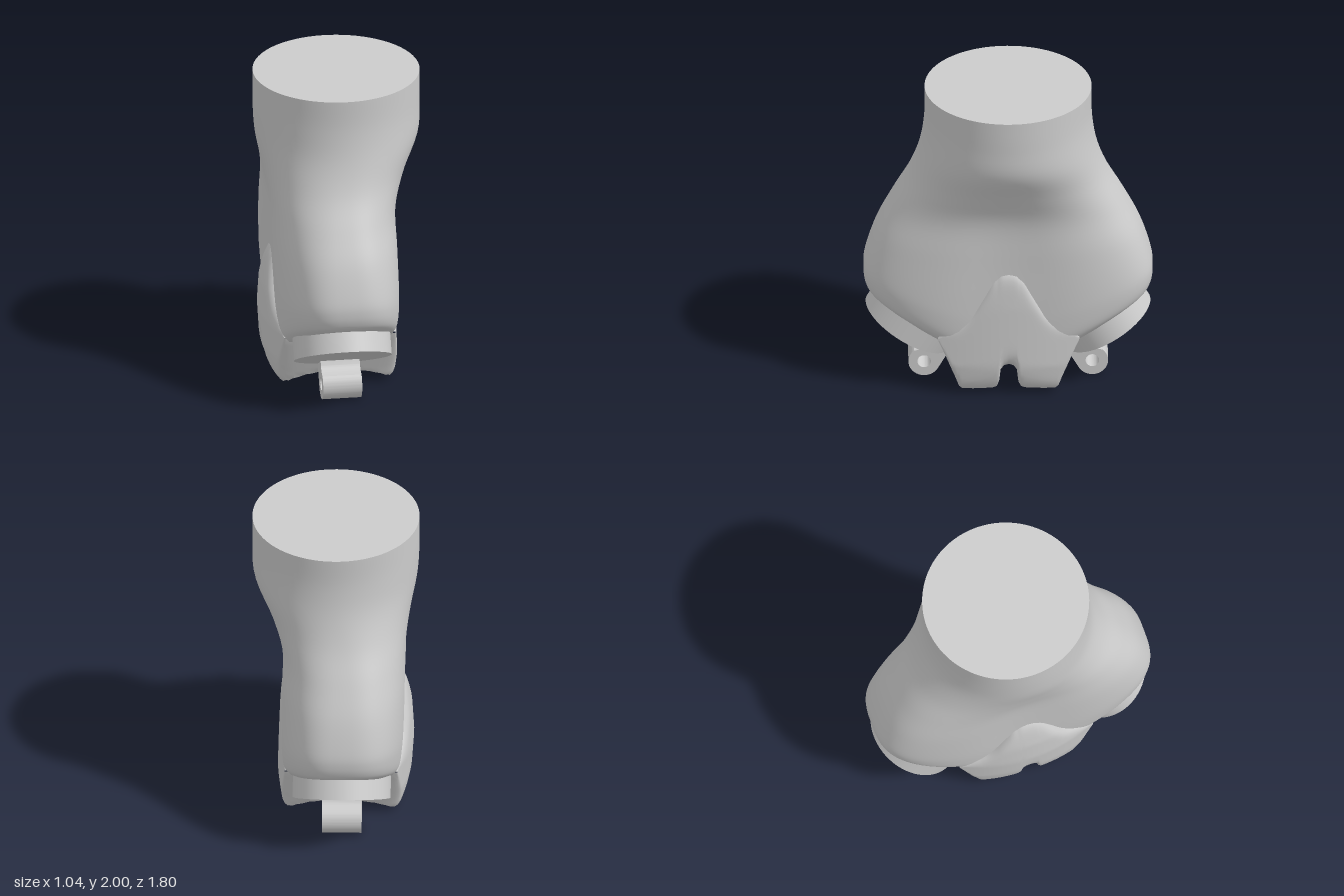
import * as THREE from 'three';
import { toCreasedNormals } from 'three/addons/utils/BufferGeometryUtils.js';

const material = new THREE.MeshStandardMaterial({ color: 0xcccccc });

function part(name, geometry) {
  const mesh = new THREE.Mesh(geometry, material);
  mesh.name = name;
  return mesh;
}

// Skin over closed loops of [x, y, z] points, all with the same count
function loft(loops, crease) {
  const n = loops[0].length;
  const index = [];
  for (let i = 0; i < loops.length - 1; i++) {
    for (let j = 0; j < n; j++) {
      const a = i * n + j, b = i * n + (j + 1) % n;
      index.push(a, b, a + n, b, b + n, a + n);
    }
  }
  const geometry = new THREE.BufferGeometry();
  geometry.setAttribute('position', new THREE.Float32BufferAttribute(loops.flat(2), 3));
  geometry.setIndex(index);
  return toCreasedNormals(geometry, crease);
}

// Linear lookup in a list of [key, value] pairs with rising keys
function lookup(table, k) {
  if (k <= table[0][0]) return table[0][1];
  for (let i = 1; i < table.length; i++) {
    const [k0, v0] = table[i - 1], [k1, v1] = table[i];
    if (k <= k1) return v0 + (v1 - v0) * (k - k0) / (k1 - k0);
  }
  return table[table.length - 1][1];
}

function catmull(a, b, c, d, t) {
  return b + 0.5 * t * (c - a + t * (2 * a - 5 * b + 4 * c - d + t * (3 * (b - c) + d - a)));
}

// Round neck that spreads into two legs, with a V-shaped underside
function bodyGeometry() {
  // end height, half length, min x, max x, roundness, V slope, waist pinch
  const rows = [
    [2.0, 0.52, -0.52, 0.52, 2, 0, 0],
    [1.8, 0.522, -0.52, 0.52, 2, 0, 0],
    [1.6, 0.552, -0.507, 0.507, 2.05, 0, 0],
    [1.4, 0.618, -0.48, 0.42, 2.3, 0, 0.03],
    [1.2, 0.725, -0.46, 0.355, 2.6, 0, 0.07],
    [1.0, 0.825, -0.453, 0.35, 2.9, 0.1, 0.09],
    [0.8, 0.89, -0.442, 0.35, 3.1, 0.25, 0.09],
    [0.7, 0.9, -0.432, 0.348, 3.1, 0.35, 0.09],
    [0.63, 0.885, -0.415, 0.335, 3, 0.48, 0.08],
    [0.595, 0.86, -0.38, 0.3, 2.8, 0.565, 0.08],
  ];
  const section = ([y, b, x0, x1, n, k, pinch], width = 1) => {
    const loop = [];
    for (let j = 0; j < 96; j++) {
      const t = j / 96 * Math.PI * 2;
      const c = Math.cos(t), s = Math.sin(t);
      const z = b * Math.sign(s) * Math.abs(s) ** (2 / n);
      const waist = 1 - pinch * Math.exp(-((z / 0.3) ** 2));
      const x = Math.sign(c) * Math.abs(c) ** (2 / n) * waist * width;
      loop.push([(x0 + x1) / 2 + (x1 - x0) / 2 * x, Math.max(y - k * (b - Math.abs(z)), 0.25), z]);
    }
    return loop;
  };
  const loops = [section([2, 0, 0, 0, 2, 0, 0])];
  const last = rows.length - 1, steps = 5;
  for (let i = 0; i < last; i++) {
    const p = [rows[Math.max(i - 1, 0)], rows[i], rows[i + 1], rows[Math.min(i + 2, last)]];
    for (let s = 0; s < steps; s++) {
      loops.push(section(rows[i].map((_, q) => catmull(p[0][q], p[1][q], p[2][q], p[3][q], s / steps))));
    }
  }
  loops.push(section(rows[last]));
  // Underside folded shut along its centre line
  const under = [0.577, 0.83, -0.35, 0.26, 2.6, 0.577, 0.08];
  loops.push(section(under), section(under, 0));
  return loft(loops, 0.7);
}

// Block between the legs: a bulging pointed plate on each side, four toes and a slot
function clawGeometry() {
  const top = [[0, 0.875], [0.05, 0.87], [0.08, 0.85], [0.1, 0.825], [0.14, 0.745], [0.19, 0.65],
    [0.22, 0.6], [0.26, 0.55], [0.35, 0.48], [0.41, 0.43], [0.435, 0.395], [0.44, 0.385]];
  const bottom = [[0, 0.18], [0.03, 0.17], [0.05, 0.14], [0.06, 0.05], [0.075, 0.01], [0.1, 0],
    [0.29, 0], [0.31, 0.02], [0.33, 0.08], [0.435, 0.355], [0.44, 0.375]];
  const right = [[0.03, -0.445], [0.2, -0.475], [0.4, -0.487], [0.6, -0.475], [0.7, -0.457], [0.86, -0.425]];
  const left = [[0.03, 0.345], [0.2, 0.362], [0.4, 0.355], [0.6, 0.348], [0.86, 0.33]];

  const half = [...top, ...bottom].map(p => p[0]);
  for (let z = 0.12; z < 0.43; z += 0.02) half.push(z);
  const stations = [...new Set(half.flatMap(z => [z, z === 0 ? 0 : -z]))].sort((a, b) => a - b);

  const loops = stations.map(z => {
    const t = lookup(top, Math.abs(z)), b = lookup(bottom, Math.abs(z));
    const bulge = (z / 0.3) ** 2;
    const loop = [];
    for (let j = 0; j < 96; j++) {
      const a = j / 96 * Math.PI * 2;
      const c = Math.cos(a), s = Math.sin(a);
      const norm = (c ** 8 + s ** 8) ** (1 / 8);
      const u = c / norm, v = s / norm;
      let y = (t + b) / 2 + (t - b) / 2 * v;
      // Shallow arch across the underside, with a narrow channel between the toes
      if (v < 0) y = Math.max(y, Math.abs(u) < 0.15 ? 0.18 : 0.1 - 0.09 * u * u);
      const x0 = lookup(right, y) + 0.045 * bulge;
      const x1 = lookup(left, y) - 0.02 * bulge;
      loop.push([(x0 + x1) / 2 + (x1 - x0) / 2 * u, y, z]);
    }
    return loop;
  });
  return loft(loops, 0.8);
}

// Rounded lug with a pin hole
function lugGeometry() {
  const shape = new THREE.Shape();
  shape.moveTo(0.29, 0.03);
  shape.lineTo(0.29, -0.135);
  shape.absarc(0.192, -0.135, 0.098, 0, -Math.PI - 0.35, true);
  shape.quadraticCurveTo(0.143, -0.07, 0.143, -0.025);
  shape.lineTo(0.135, 0.03);
  const hole = new THREE.Path();
  hole.absarc(0.192, -0.135, 0.042, 0, Math.PI * 2, false);
  shape.holes.push(hole);
  const geometry = new THREE.ExtrudeGeometry(shape, { depth: 0.245, bevelEnabled: false, curveSegments: 24 });
  geometry.translate(0, 0, -0.1225);
  geometry.rotateY(Math.PI / 2);
  return toCreasedNormals(geometry, 0.5);
}

export function createModel() {
  const model = new THREE.Group();
  model.name = 'forkedFoot';
  model.add(part('body', bodyGeometry()), part('clawBlock', clawGeometry()));

  // Tilted end disc with lug, at front and back
  for (const [side, turn] of [['front', 0], ['back', Math.PI]]) {
    const leg = new THREE.Group();
    leg.name = side + 'Joint';
    leg.position.x = -0.045;
    leg.rotation.y = turn;
    const tilt = new THREE.Group();
    tilt.name = side + 'JointTilt';
    tilt.position.set(0, 0.31, 0.622);
    tilt.rotation.x = -Math.PI / 6;
    const disc = part(side + 'Disc', new THREE.CylinderGeometry(0.305, 0.305, 0.22, 64));
    disc.position.y = 0.11;
    tilt.add(disc, part(side + 'Lug', lugGeometry()));
    leg.add(tilt);
    model.add(leg);
  }
  return model;
}
